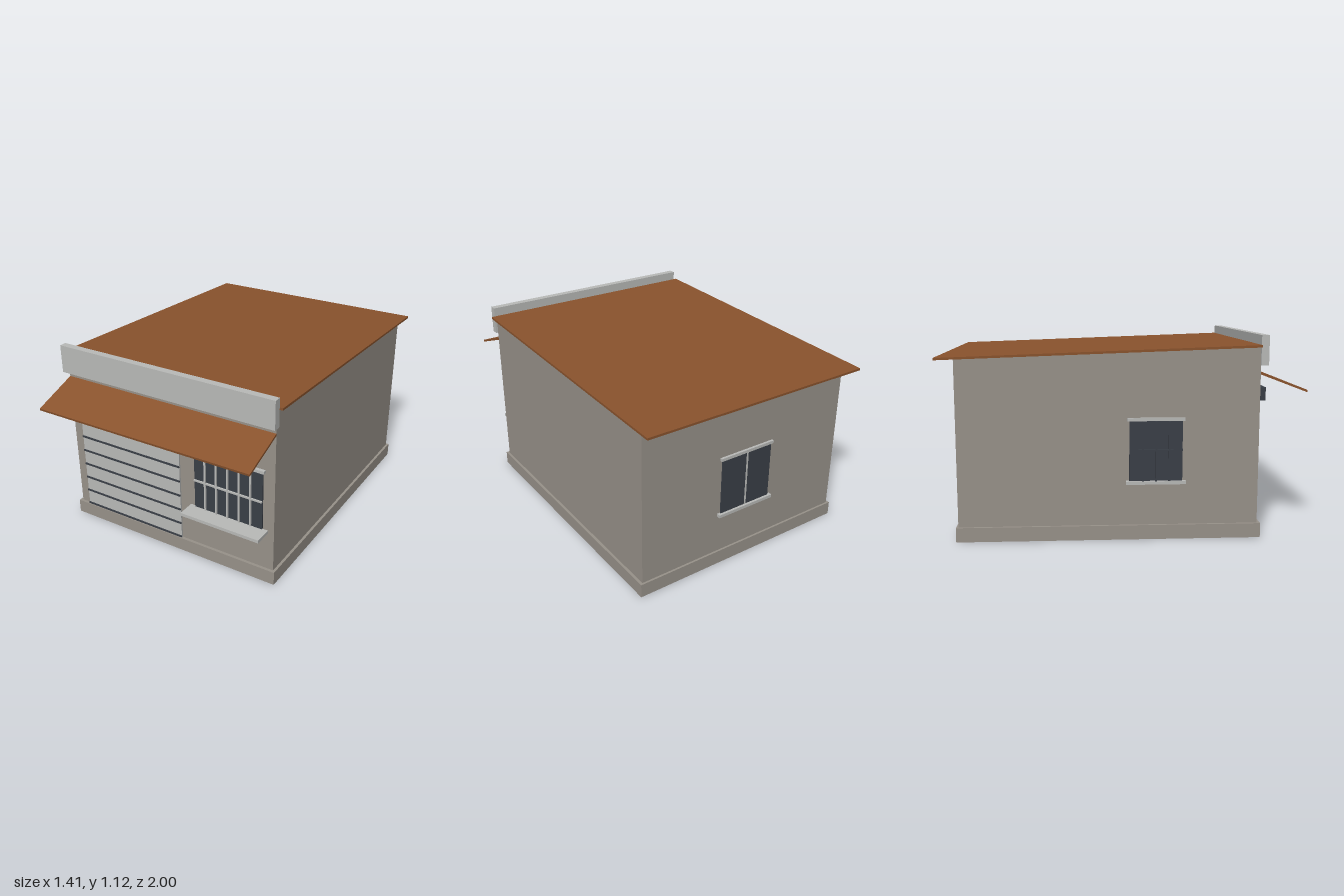
import * as THREE from 'three';

const mat = (name, color) => {
  const m = new THREE.MeshStandardMaterial({ color });
  m.name = name;
  return m;
};

export function createModel() {
  const model = new THREE.Group();
  model.name = 'shop';
  const wall = mat('wall plaster', 0x98928a);
  const trim = mat('light trim', 0xb9bab8);
  const dark = mat('dark glass and metal', 0x3a3f47);
  const roofing = mat('rust roofing', 0x8a532d);

  // Box given by its lower and upper corners
  const box = (parent, name, material, x0, x1, y0, y1, z0, z1) => {
    const mesh = new THREE.Mesh(new THREE.BoxGeometry(x1 - x0, y1 - y0, z1 - z0), material);
    mesh.position.set((x0 + x1) / 2, (y0 + y1) / 2, (z0 + z1) / 2);
    mesh.name = name;
    parent.add(mesh);
    return mesh;
  };

  // Side outline of [z, y] points, extruded across the width
  const profile = (name, material, points, halfWidth) => {
    const shape = new THREE.Shape(points.map(([z, y]) => new THREE.Vector2(-z, y)));
    const geo = new THREE.ExtrudeGeometry(shape, { depth: halfWidth * 2, bevelEnabled: false });
    geo.translate(0, 0, -halfWidth).rotateY(Math.PI / 2);
    const mesh = new THREE.Mesh(geo, material);
    mesh.name = name;
    model.add(mesh);
  };

  // Walls, plinth, sloping roof, awning and parapet
  profile('walls', wall, [[0.74, 0.02], [0.74, 1.052], [-0.9, 0.995], [-0.9, 0.02]], 0.673);
  box(model, 'plinth', wall, -0.688, 0.688, 0, 0.08, -0.912, 0.757);
  profile('roof', roofing, [[0.738, 1.052], [0.738, 1.065], [-1, 1.004], [-1, 0.992]], 0.705);
  profile('awning', roofing, [[0.738, 0.906], [0.738, 0.919], [1, 0.819], [0.998, 0.807]], 0.673);
  box(model, 'parapet', trim, -0.686, 0.686, 0.955, 1.117, 0.738, 0.78);

  // Roller shutter with dark grooves and its housing
  const shutter = new THREE.Group();
  shutter.name = 'shutter';
  model.add(shutter);
  box(shutter, 'shutterPanel', trim, -0.609, 0.081, 0.08, 0.77, 0.735, 0.75);
  for (let i = 0; i < 7; i++) {
    const y = 0.089 + i * 0.0922;
    box(shutter, 'shutterGroove', dark, -0.609, 0.081, y - 0.005, y + 0.005, 0.748, 0.756);
  }
  box(shutter, 'shutterHousing', dark, -0.628, 0.1, 0.757, 0.83, 0.738, 0.781);

  // Window facing +z about its own origin, then turned onto a wall
  const makeWindow = (name, o) => {
    const g = new THREE.Group();
    g.name = name;
    const w = o.width / 2;
    box(g, 'glass', dark, -w, w, 0.327, o.top, -0.005, 0.008);
    box(g, 'lintel', trim, -w - 0.012, w + 0.012, o.top, o.top + 0.017, -0.005, o.lintel);
    box(g, 'sill', trim, -w - o.lip, w + o.lip, 0.31, 0.328, -0.005, o.sill);
    for (let i = 1; i <= o.bars; i++) {
      const x = -w + (o.width * i) / (o.bars + 1);
      box(g, 'bar', o.barMaterial, x - 0.005, x + 0.005, 0.328, o.top, o.barBack, o.barFront);
    }
    if (o.rail) box(g, 'rail', o.barMaterial, -w, w, 0.495, 0.505, o.barBack, o.barFront);
    model.add(g);
    return g;
  };

  makeWindow('frontWindow', {
    width: 0.426, top: 0.675, lintel: 0.02, sill: 0.105, lip: 0.032,
    bars: 5, barMaterial: trim, barBack: 0.006, barFront: 0.017, rail: true,
  }).position.set(0.392, 0, 0.74);

  const side = makeWindow('sideWindow', {
    width: 0.29, top: 0.658, lintel: 0.015, sill: 0.024, lip: 0.018,
    bars: 3, barMaterial: dark, barBack: 0.014, barFront: 0.025, rail: true,
  });
  side.position.set(-0.673, 0, 0.175);
  side.rotation.y = -Math.PI / 2;

  const back = makeWindow('backWindow', {
    width: 0.335, top: 0.658, lintel: 0.014, sill: 0.022, lip: 0.018,
    bars: 1, barMaterial: trim, barBack: 0.004, barFront: 0.011, rail: false,
  });
  back.position.set(0, 0, -0.9);
  back.rotation.y = Math.PI;

  return model;
}
